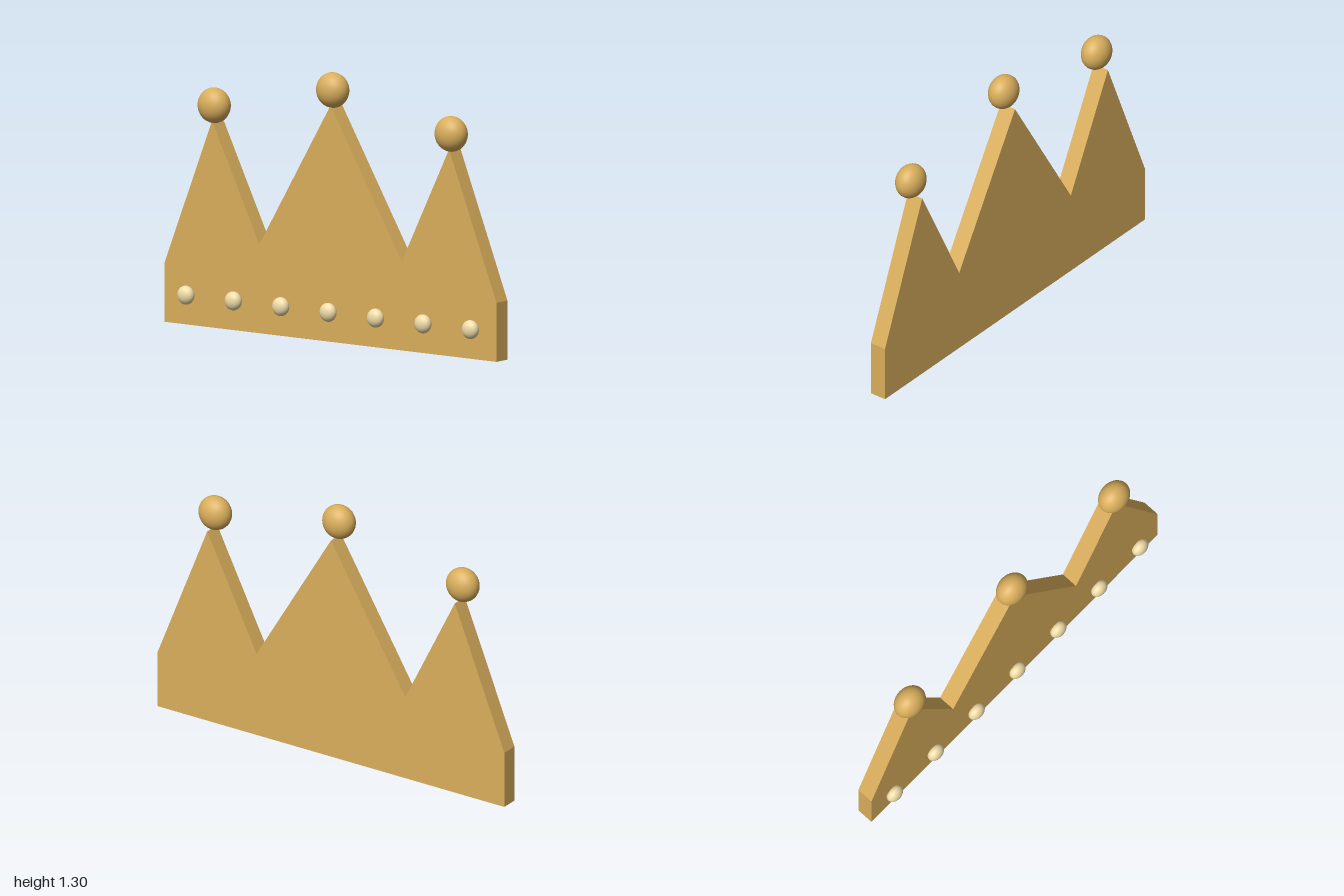
import * as THREE from 'three';

export function createModel() {
  const crown = new THREE.Group();
  crown.name = 'crown';
  const gold = new THREE.MeshStandardMaterial({ color: 0xd9ae5c });
  const pearl = new THREE.MeshStandardMaterial({ color: 0xf0dca8 });

  // Flat band with three points, cut from one outline
  const outline = [
    [-1, 0], [1, 0], [1, 0.286], [0.714, 1], [0.429, 0.429],
    [0, 1.143], [-0.429, 0.429], [-0.714, 1], [-1, 0.286],
  ].map(([x, y]) => new THREE.Vector2(x, y));
  const plateGeometry = new THREE.ExtrudeGeometry(new THREE.Shape(outline), {
    depth: 0.086, bevelEnabled: false,
  });
  const plate = new THREE.Mesh(plateGeometry, gold);
  plate.name = 'crownPlate';
  plate.position.z = -0.069;
  crown.add(plate);

  // Slightly flattened sphere
  const addBead = (name, material, radius, depthRadius, x, y, z) => {
    const bead = new THREE.Mesh(new THREE.SphereGeometry(radius, 32, 24), material);
    bead.name = name;
    bead.scale.z = depthRadius / radius;
    bead.position.set(x, y, z);
    crown.add(bead);
  };

  // Balls on the points
  for (const [x, y] of [[-0.714, 1.073], [0, 1.216], [0.714, 1.073]]) {
    addBead('tipBall', gold, 0.0857, 0.0686, x, y, 0);
  }

  // Row of gems along the front of the band
  for (let i = -3; i <= 3; i++) {
    addBead('bandGem', pearl, 0.0457, 0.0325, i * 0.2857, 0.145, 0.036);
  }
  return crown;
}
